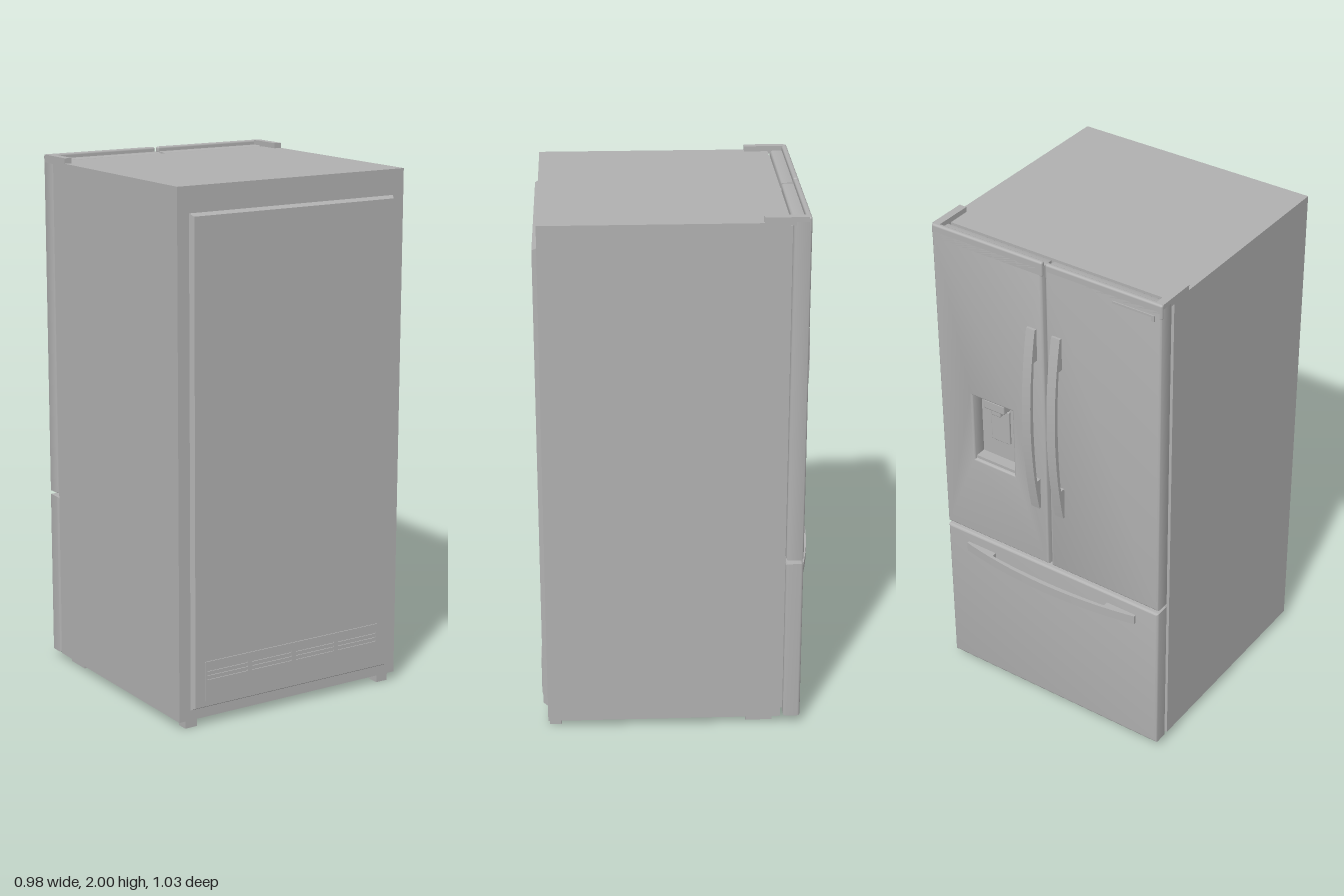
import * as THREE from 'three';
import { toCreasedNormals } from 'three/addons/utils/BufferGeometryUtils.js';
import { RoundedBoxGeometry } from 'three/addons/geometries/RoundedBoxGeometry.js';

const FACE = -0.465; // z of the door fronts

const rectPath = (Type, x0, x1, y0, y1) => {
  const p = new Type();
  p.moveTo(x0, y0);
  p.lineTo(x1, y0);
  p.lineTo(x1, y1);
  p.lineTo(x0, y1);
  p.closePath();
  return p;
};

export function createModel() {
  const group = new THREE.Group();
  const gray = new THREE.MeshStandardMaterial({ color: 0xb0b0b0 });
  gray.name = 'gray steel';

  const add = (name, geometry) => {
    const mesh = new THREE.Mesh(geometry, gray);
    mesh.name = name;
    group.add(mesh);
    return mesh;
  };
  // Box given by its limits, rounded when r > 0
  const box = (name, x0, x1, y0, y1, z0, z1, r = 0) => {
    const s = [x1 - x0, y1 - y0, z1 - z0];
    const g = r ? new RoundedBoxGeometry(...s, 3, r) : new THREE.BoxGeometry(...s);
    add(name, g).position.set((x0 + x1) / 2, (y0 + y1) / 2, (z0 + z1) / 2);
  };

  // Cabinet and door seal
  box('cabinet', -0.488, 0.488, 0.03, 1.98, -0.39, 0.49);
  box('doorSeal', -0.46, 0.46, 0.05, 1.96, -0.402, -0.389);

  // Doors and drawer front: softly bevelled slabs, with optional opening
  const slab = (name, x0, x1, y0, y1, hole) => {
    const shape = rectPath(THREE.Shape, x0, x1, y0, y1);
    if (hole) shape.holes.push(rectPath(THREE.Path, ...hole));
    const b = 0.01;
    const g = new THREE.ExtrudeGeometry(shape, {
      depth: 0.065 - 2 * b, bevelThickness: b, bevelSize: b, bevelOffset: -b, bevelSegments: 4,
    });
    g.translate(0, 0, FACE + b);
    add(name, toCreasedNormals(g, 0.6));
  };
  const recess = [0.157, 0.337, 1.04, 1.325];
  slab('leftDoor', 0.006, 0.488, 0.685, 1.982, recess);
  slab('rightDoor', -0.488, -0.006, 0.685, 1.982);
  slab('freezerDrawer', -0.488, 0.488, 0.03, 0.67);

  // Raised rims and hinge covers on top of the doors
  for (const s of [-1, 1]) {
    const sorted = (a, b) => (s > 0 ? [a, b] : [-b, -a]);
    box('doorTopRim', ...sorted(0.006, 0.488), 1.94, 2, FACE, -0.445, 0.008);
    box('hingeCover', ...sorted(0.458, 0.488), 1.97, 2, -0.455, -0.3);
    box('frontFoot', ...sorted(0.41, 0.46), 0, 0.032, -0.36, -0.26);
    box('rearFoot', ...sorted(0.41, 0.46), 0, 0.032, 0.44, 0.485);
  }

  // Water dispenser inside the left door
  const [rx0, rx1, ry0, ry1] = recess;
  box('dispenserBack', rx0 - 0.005, rx1 + 0.005, ry0 - 0.005, ry1 + 0.005, -0.412, -0.401);
  box('dispenserHead', 0.2, 0.294, 1.285, 1.326, -0.458, -0.41, 0.006);
  box('dispenserNozzle', 0.225, 0.269, 1.26, 1.29, -0.448, -0.42, 0.005);
  box('dispenserPaddle', 0.205, 0.289, 1.13, 1.275, -0.422, -0.41, 0.004);
  box('dripTray', rx0, rx1, ry0, 1.052, -0.455, -0.41);

  // Bowed handles: a curved bar standing on two solid ends
  const L = 0.39, inner = 0.26, n = 20;
  const bow = (s, half, base, rise) => base + rise * (1 - (s / half) ** 2);
  const profile = new THREE.Shape();
  profile.moveTo(L, -0.002);
  for (let i = 0; i <= n; i++) {
    const s = L - (2 * L * i) / n;
    profile.lineTo(s, bow(s, L, 0.01, 0.04));
  }
  profile.lineTo(-L, -0.002);
  profile.lineTo(-inner, -0.002);
  for (let i = 0; i <= n; i++) {
    const s = -inner + (2 * inner * i) / n;
    profile.lineTo(s, bow(s, inner, 0.02, 0.013));
  }
  profile.lineTo(inner, -0.002);
  const handle = (name, x, y, along, across) => {
    const g = new THREE.ExtrudeGeometry(profile, { depth: 0.037, bevelEnabled: false });
    g.translate(0, 0, -0.0185);
    g.applyMatrix4(new THREE.Matrix4().makeBasis(along, new THREE.Vector3(0, 0, -1), across));
    add(name, toCreasedNormals(g, 0.4)).position.set(x, y, FACE);
  };
  const X = new THREE.Vector3(1, 0, 0), Y = new THREE.Vector3(0, 1, 0);
  handle('leftDoorHandle', 0.054, 1.332, Y, X.clone().negate());
  handle('rightDoorHandle', -0.054, 1.332, Y, X.clone().negate());
  handle('drawerHandle', 0, 0.605, X, Y);

  // Thin plain trim strip on the right door
  box('trimStrip', -0.46, -0.29, 1.945, 1.953, FACE - 0.004, FACE + 0.002);
  box('trimStripEnd', -0.46, -0.448, 1.93, 1.946, FACE - 0.004, FACE + 0.002);

  // Chamfered service panel on the cabinet's other side
  const panel = new THREE.ExtrudeGeometry(rectPath(THREE.Shape, -0.44, 0.44, 0.068, 1.885), {
    depth: 0.001, bevelThickness: 0.018, bevelSize: 0.01, bevelOffset: -0.01, bevelSegments: 1,
  });
  panel.translate(0, 0, 0.489);
  add('servicePanel', panel);

  // Vent plate with four banks of slots
  const vent = rectPath(THREE.Shape, -0.39, 0.39, 0.098, 0.25);
  for (const cx of [-0.293, -0.098, 0.098, 0.293]) {
    for (const cy of [0.184, 0.2, 0.216]) {
      vent.holes.push(rectPath(THREE.Path, cx - 0.088, cx + 0.088, cy - 0.004, cy + 0.004));
    }
  }
  const ventGeometry = new THREE.ExtrudeGeometry(vent, { depth: 0.006, bevelEnabled: false });
  ventGeometry.translate(0, 0, 0.506);
  add('ventPlate', ventGeometry);

  return group;
}
